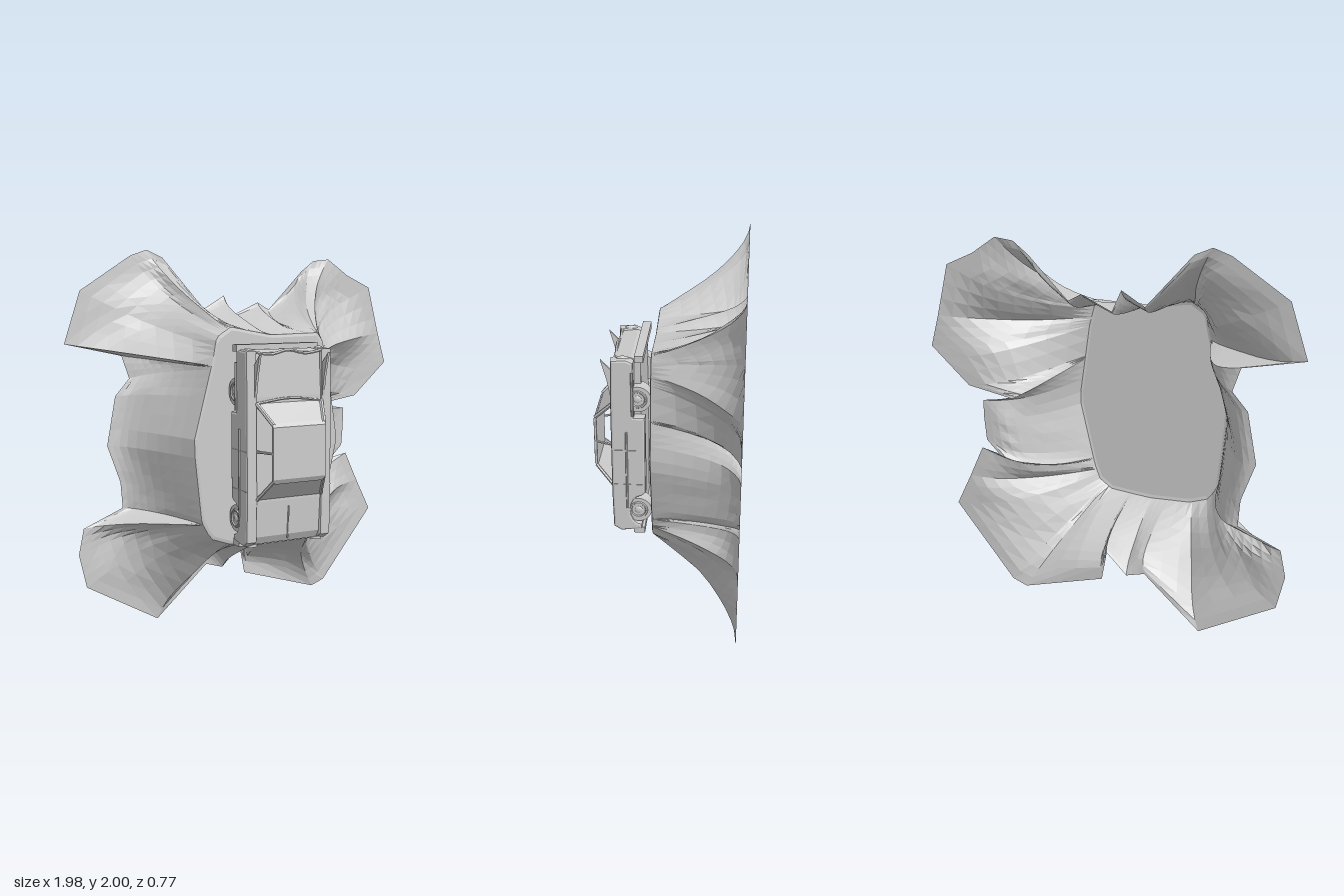
import * as THREE from 'three';

const grey = new THREE.MeshStandardMaterial({ color: 0xcccccc, flatShading: true, side: THREE.DoubleSide });
grey.name = 'plain grey';
const CX = -0.05; // centre line of the car

function add(parent, name, geo, x = 0, y = 0, z = 0) {
  const m = new THREE.Mesh(geo, grey);
  m.name = name;
  m.position.set(x, y, z);
  parent.add(m);
  return m;
}

// Side profile of [y, z] points, extruded along x from x0 to x1
function slab(parent, name, pts, x0, x1, bevel = 0) {
  const shape = new THREE.Shape(pts.map(p => new THREE.Vector2(p[0], p[1])));
  const geo = new THREE.ExtrudeGeometry(shape, {
    depth: x1 - x0 - 2 * bevel, bevelEnabled: bevel > 0, bevelSize: bevel,
    bevelThickness: bevel, bevelOffset: -bevel, bevelSegments: 2,
  });
  geo.applyMatrix4(new THREE.Matrix4().makeBasis(
    new THREE.Vector3(0, 1, 0), new THREE.Vector3(0, 0, 1), new THREE.Vector3(1, 0, 0)));
  return add(parent, name, geo, x0 + bevel, 0, 0);
}

// Flat panel through four corners
function panel(parent, name, c) {
  const geo = new THREE.BufferGeometry();
  geo.setAttribute('position', new THREE.Float32BufferAttribute(c.flat(), 3));
  geo.setIndex([0, 1, 2, 0, 2, 3]);
  geo.computeVertexNormals();
  return add(parent, name, geo);
}

// Round bar through the given points
function bar(parent, name, r, ...pts) {
  const path = new THREE.CatmullRomCurve3(pts.map(p => new THREE.Vector3(...p)));
  return add(parent, name, new THREE.TubeGeometry(path, pts.length * 3, r, 6));
}

// Hem of the cloth, anticlockwise: x, y, and how quickly the cloth drops there
const HEM = [
  [0.70, 1.00, 2.5], [0.70, 1.10, 2.5], [0.53, 1.13, 2.2], [0.78, 1.17, 3.0], [0.99, 1.36, 2.7],
  [0.94, 1.53, 1.65], [0.87, 1.80, 3.2], [0.72, 1.87, 2.4], [0.59, 1.96, 1.65], [0.49, 1.95, 2.0],
  [0.41, 1.89, 2.6], [0.20, 1.68, 2.2], [0.13, 1.72, 1.5], [-0.03, 1.65, 2.0], [-0.08, 1.76, 1.6],
  [-0.20, 1.69, 2.4], [-0.44, 1.96, 2.2], [-0.53, 2.00, 1.65], [-0.62, 1.97, 2.4], [-0.90, 1.79, 3.1],
  [-0.99, 1.52, 1.7], [-0.68, 1.45, 2.6], [-0.64, 1.33, 2.0], [-0.72, 1.24, 2.1], [-0.77, 0.98, 2.1],
  [-0.70, 0.78, 2.0], [-0.69, 0.64, 2.4], [-0.91, 0.55, 1.7], [-0.94, 0.41, 3.0], [-0.90, 0.23, 3.2],
  [-0.50, 0.00, 1.55], [-0.20, 0.27, 2.4], [-0.10, 0.24, 1.5], [0.01, 0.35, 2.0], [0.04, 0.19, 2.9],
  [0.49, 0.05, 1.8], [0.57, 0.08, 2.0], [0.89, 0.48, 3.2], [0.80, 0.66, 1.65], [0.72, 0.83, 2.4],
  [0.62, 0.81, 2.4], [0.69, 0.88, 2.2],
];

// Edge of the flat top: hem angle in degrees, then the x and y it hangs from
const EDGE = [
  [-17, 0.28, 0.62], [0, 0.365, 1.0], [14, 0.3, 1.42], [40, 0.27, 1.53], [62, 0.24, 1.57],
  [88, -0.04, 1.565], [112, -0.27, 1.61], [130, -0.35, 1.56], [151, -0.37, 1.45], [180, -0.482, 1.03],
  [211, -0.44, 0.62], [230, -0.39, 0.53], [250, -0.28, 0.49], [268, -0.05, 0.475], [284, 0.18, 0.49],
  [320, 0.25, 0.54], [343, 0.28, 0.62], [360, 0.365, 1.0],
];
function edgePoint(deg) {
  let k = 0;
  while (k < EDGE.length - 2 && deg > EDGE[k + 1][0]) k++;
  const [a, ax, ay] = EDGE[k], [b, bx, by] = EDGE[k + 1];
  return [THREE.MathUtils.mapLinear(deg, a, b, ax, bx), THREE.MathUtils.mapLinear(deg, a, b, ay, by)];
}
const tri = v => 4 * Math.abs(v - Math.floor(v + 0.5)) - 1; // sharp-creased wave

function makeCloth() {
  const SUB = 3, RINGS = 9, TOP = 0.071, LIP = 0.004, FLOOR = -0.39;
  const cx = -0.06, cy = 1.05;
  const n = HEM.length * SUB;
  const pos = [], idx = [];
  let last = -1;
  for (let i = 0; i < n; i++) {
    const k = Math.floor(i / SUB), f = (i % SUB) / SUB;
    const p = HEM[k], q = HEM[(k + 1) % HEM.length];
    const [ox, oy, fall] = p.map((v, j) => v + (q[j] - v) * f);
    let hemAngle = Math.atan2(oy - cy, ox - cx);
    if (hemAngle < -0.1) hemAngle += Math.PI * 2;
    hemAngle = last = Math.max(hemAngle, last + 0.004);
    const [ix, iy] = edgePoint(THREE.MathUtils.radToDeg(hemAngle));
    pos.push(cx + (ix - cx) * 0.97, cy + (iy - cy) * 0.97, TOP);
    for (let j = 0; j <= RINGS; j++) {
      const t = j / RINGS, w = Math.sin(Math.PI * t);
      const crease = tri(i * 0.097 + t * 0.7) + 0.5 * tri(i * 0.17 - t * 1.3 + 0.3);
      const drop = 1 - Math.pow(1 - t, fall) + 0.03 * w * crease;
      pos.push(ix + (ox - ix) * t, iy + (oy - iy) * t,
        THREE.MathUtils.lerp(TOP - LIP, FLOOR, THREE.MathUtils.clamp(drop, 0, 1)));
    }
  }
  const row = RINGS + 2, centre = n * row;
  pos.push(cx, cy, TOP);
  for (let i = 0; i < n; i++) {
    const a = i * row, b = ((i + 1) % n) * row;
    idx.push(centre, a, b);
    for (let j = 0; j < row - 1; j++) idx.push(a + j, a + j + 1, b + j + 1, a + j, b + j + 1, b + j);
  }
  const geo = new THREE.BufferGeometry();
  geo.setAttribute('position', new THREE.Float32BufferAttribute(pos, 3));
  geo.setIndex(idx);
  geo.computeVertexNormals();
  return geo;
}

function makeCar() {
  const car = new THREE.Group();
  car.name = 'car';

  // Centre of the body: bonnet, floor and boot
  slab(car, 'bodyCentre', [[0.53, 0.13], [1.48, 0.13], [1.50, 0.18], [1.49, 0.26], [1.27, 0.275],
    [0.74, 0.275], [0.56, 0.262], [0.52, 0.24]], CX - 0.19, CX + 0.19, 0.008);
  bar(car, 'bonnetRidge', 0.005, [CX, 0.54, 0.262], [CX, 0.71, 0.275]);
  bar(car, 'bootEdge', 0.008, [CX - 0.2, 1.495, 0.265], [CX - 0.1, 1.48, 0.265], [CX, 1.5, 0.268],
    [CX + 0.1, 1.48, 0.265], [CX + 0.2, 1.495, 0.265]);

  // Body sides with wheel cut-outs
  const arch = [];
  for (let i = 0; i <= 8; i++) {
    const a = Math.PI * i / 8;
    arch.push([0.645 - 0.085 * Math.cos(a), 0.13 + 0.06 * Math.sin(a)]);
  }
  const flank = [[0.53, 0.13], ...arch, [0.75, 0.108], [1.19, 0.108], [1.19, 0.165], [1.49, 0.165],
    [1.505, 0.2], [1.50, 0.28], [1.2, 0.285], [0.74, 0.285], [0.54, 0.28], [0.515, 0.24]];

  for (const s of [-1, 1]) {
    const X = d => CX + s * d;
    const a = X(0.185), b = X(0.245);
    slab(car, 'bodySide', flank, Math.min(a, b), Math.max(a, b), 0.012);

    // Tail fin and lamps
    slab(car, 'tailFin', [[1.24, 0.28], [1.43, 0.28], [1.485, 0.335], [1.38, 0.305]], X(0.195) - 0.006, X(0.195) + 0.006);
    add(car, 'tailLamp', new THREE.SphereGeometry(0.02, 12, 8), X(0.205), 1.5, 0.22).scale.set(0.8, 0.6, 1.7);
    add(car, 'headLamp', new THREE.CylinderGeometry(0.026, 0.026, 0.015, 16), X(0.19), 0.515, 0.225).scale.x = 1.2;

    // Trim strips and door seams
    bar(car, 'sideTrim', 0.006, [X(0.246), 0.66, 0.205], [X(0.246), 1.11, 0.205]);
    bar(car, 'rearTrim', 0.007, [X(0.246), 1.2, 0.172], [X(0.246), 1.44, 0.172]);
    for (const y of [0.8, 1.0]) {
      add(car, 'doorSeam', new THREE.BoxGeometry(0.004, 0.005, 0.15), X(0.246), y, 0.2);
    }

    // Wheels
    for (const [y, z] of [[0.645, 0.147], [1.29, 0.145]]) {
      const wheel = new THREE.Group();
      wheel.name = 'wheel';
      wheel.position.set(X(0.197), y, z);
      wheel.rotation.z = Math.PI / 2;
      add(wheel, 'tyre', new THREE.CylinderGeometry(0.069, 0.069, 0.08, 24));
      add(wheel, 'rim', new THREE.TorusGeometry(0.042, 0.007, 6, 20), 0, -s * 0.04, 0).rotation.x = Math.PI / 2;
      add(wheel, 'hubCap', new THREE.SphereGeometry(0.022, 12, 8), 0, -s * 0.038, 0).scale.y = 0.4;
      car.add(wheel);
    }

    // Pillars around the open side windows
    bar(car, 'frontPillar', 0.009, [X(0.187), 0.755, 0.278], [X(0.145), 0.86, 0.376]);
    bar(car, 'middlePillar', 0.007, [X(0.187), 1.0, 0.278], [X(0.148), 1.0, 0.376]);
    bar(car, 'rearPillar', 0.011, [X(0.187), 1.24, 0.278], [X(0.145), 1.14, 0.376]);
  }

  // Roof and windows
  slab(car, 'roof', [[0.845, 0.37], [1.15, 0.37], [1.13, 0.385], [0.87, 0.385]], CX - 0.152, CX + 0.152, 0.004);
  panel(car, 'windscreen', [[CX - 0.187, 0.755, 0.278], [CX + 0.187, 0.755, 0.278],
    [CX + 0.145, 0.86, 0.376], [CX - 0.145, 0.86, 0.376]]);
  panel(car, 'rearWindow', [[CX - 0.145, 1.14, 0.376], [CX + 0.145, 1.14, 0.376],
    [CX + 0.187, 1.24, 0.278], [CX - 0.187, 1.24, 0.278]]);
  bar(car, 'rearWindowFrame', 0.007, [CX - 0.187, 1.24, 0.278], [CX, 1.26, 0.28], [CX + 0.187, 1.24, 0.278]);

  // Bumpers and grille
  add(car, 'frontBumper', new THREE.BoxGeometry(0.47, 0.035, 0.06), CX, 0.518, 0.145);
  add(car, 'rearBumper', new THREE.BoxGeometry(0.47, 0.035, 0.045), CX, 1.508, 0.137);
  for (const z of [0.185, 0.205, 0.225]) {
    add(car, 'grilleBar', new THREE.BoxGeometry(0.3, 0.01, 0.007), CX, 0.518, z);
  }
  return car;
}

export function createModel() {
  const model = new THREE.Group();
  model.name = 'carOnDrapedCloth';
  add(model, 'drapedCloth', makeCloth());
  model.add(makeCar());
  return model;
}
